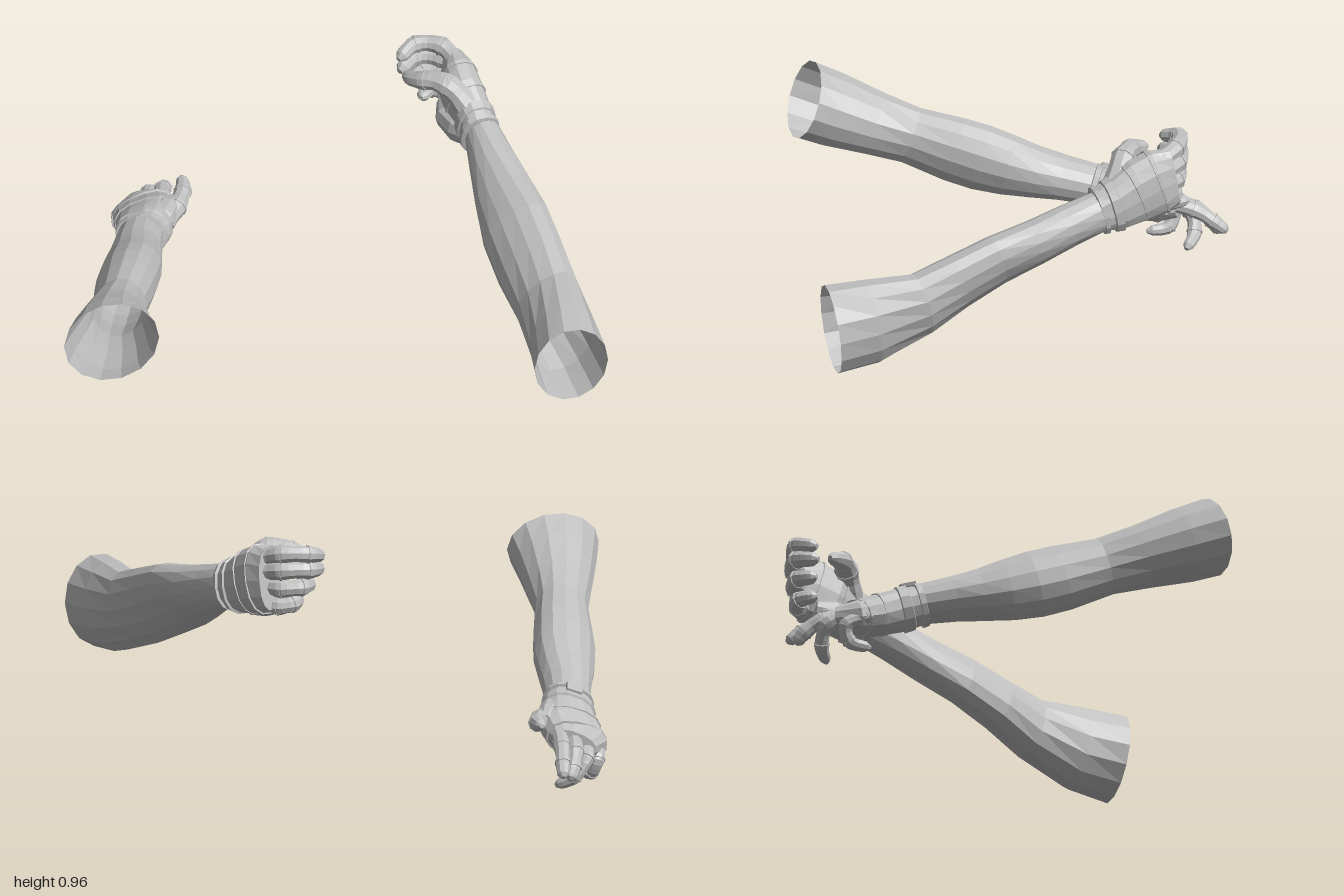
import * as THREE from 'three';

const grey = new THREE.MeshStandardMaterial({ color: 0xbfbfbf, side: THREE.DoubleSide, flatShading: true });
grey.name = 'plain grey';

// Skin a tube over sections [x, y, z, halfWidth, halfHeight, zSkew, lean].
// "lean" slants the oval, "square" below 1 makes it boxier, "up" sets the roll.
function loft(sections, { sides = 12, up = new THREE.Vector3(0, 1, 0), square = 1, cap = false } = {}) {
  const pos = [], idx = [], n = sections.length;
  const point = i => new THREE.Vector3(...sections[Math.min(n - 1, Math.max(0, i))].slice(0, 3));
  const soft = v => Math.sign(v) * Math.pow(Math.abs(v), square);
  for (let i = 0; i < n; i++) {
    const [, , , w, h, skew = 0, lean = 0] = sections[i];
    const along = point(i + 1).sub(point(i - 1)).normalize();
    const side = along.clone().cross(up).normalize();
    const top = side.clone().cross(along);
    side.z += skew;
    for (let j = 0; j < sides; j++) {
      const a = (j / sides) * Math.PI * 2;
      const p = point(i).addScaledVector(side, soft(Math.cos(a - lean)) * w).addScaledVector(top, soft(Math.sin(a)) * h);
      pos.push(p.x, p.y, p.z);
    }
  }
  for (let i = 0; i < n - 1; i++) for (let j = 0; j < sides; j++) {
    const a = i * sides + j, b = i * sides + (j + 1) % sides;
    idx.push(a, a + sides, b, b, a + sides, b + sides);
  }
  if (cap) for (const row of [0, n - 1]) {
    const c = pos.length / 3;
    pos.push(...point(row).toArray());
    for (let j = 0; j < sides; j++) {
      const a = row * sides + j, b = row * sides + (j + 1) % sides;
      idx.push(c, ...(row ? [b, a] : [a, b]));
    }
  }
  const g = new THREE.BufferGeometry();
  g.setAttribute('position', new THREE.Float32BufferAttribute(pos, 3));
  g.setIndex(idx);
  g.computeVertexNormals();
  return g;
}

function part(name, geometry) {
  const m = new THREE.Mesh(geometry, grey);
  m.name = name;
  return m;
}

// Section at fractional index t, enlarged by "grow"
function sample(sections, t, grow) {
  const i = Math.max(0, Math.min(sections.length - 2, Math.floor(t)));
  const s = sections[i].slice(0, 5).map((v, k) => v + (sections[i + 1][k] - v) * (t - i));
  s[3] += grow; s[4] += grow;
  return s;
}

// Raised band wrapped around a lofted form
function band(name, sections, t0, t1, thick, options) {
  const e = (t1 - t0) * 0.12;
  return part(name, loft([
    sample(sections, t0, -0.004), sample(sections, t0 + e, thick),
    sample(sections, t1 - e, thick), sample(sections, t1, -0.004)], options));
}

// Finger: tapered tube with swollen joints, rounded tip and glove seams
function finger(name, points, r, baseScale = 1.1) {
  const v = points.map(p => new THREE.Vector3(...p)), n = v.length;
  const up = v[1].clone().sub(v[0]).cross(v[n - 1].clone().sub(v[n - 2])).normalize();
  const curve = new THREE.CatmullRomCurve3(v), rows = [];
  for (let i = 0; i <= 14; i++) {
    const t = i / 14, joint = Math.pow(Math.cos(t * Math.PI * 3), 2);
    const tip = t > 0.85 ? Math.sqrt(Math.max(0.12, 1 - Math.pow((t - 0.85) / 0.15, 2))) : 1;
    const q = r * (baseScale + (0.85 - baseScale) * t) * (0.94 + 0.12 * joint) * tip;
    rows.push([...curve.getPoint(t).toArray(), q, q]);
  }
  const g = new THREE.Group();
  g.name = name;
  g.add(part('fingerBody', loft(rows, { sides: 9, up, cap: true })));
  for (const t of [4.2, 8.8]) g.add(band('fingerSeam', rows, t, t + 0.6, 0.003, { sides: 9, up }));
  return g;
}

function buildArm(name, spec) {
  const arm = new THREE.Group();
  arm.name = name;
  arm.add(part('forearmAndElbow', loft(spec.arm, { sides: 14 })));
  const palmOptions = { sides: 14, up: spec.roll, square: 0.85 };
  arm.add(part('glovePalm', loft(spec.palm, { ...palmOptions, cap: true })));
  arm.add(part('palmHeel', loft(spec.heel, { sides: 10, cap: true })));

  // Cuff edge, wrist strap and glove seams
  arm.add(band('cuffRim', spec.palm, 0.0, 0.25, 0.01, palmOptions));
  arm.add(band('wristStrap', spec.palm, 0.5, 0.95, 0.008, palmOptions));
  arm.add(band('palmSeam', spec.palm, 1.7, 1.82, 0.004, palmOptions));
  arm.add(band('knuckleSeam', spec.palm, 2.85, 3.0, 0.004, palmOptions));

  // Strap buckle on the back of the wrist
  const buckle = part('strapBuckle', new THREE.BoxGeometry(0.06, 0.014, 0.055));
  buckle.position.set(...spec.buckle.at);
  buckle.rotation.set(...spec.buckle.turn);
  arm.add(buckle);

  for (const [label, r, points, base] of spec.fingers) arm.add(finger(label, points, r, base));
  return arm;
}

export function createModel() {
  const model = new THREE.Group();
  model.name = 'pairOfGlovedArms';

  // Right arm: reaches forward and down with an open, relaxed hand
  model.add(buildArm('rightArm', {
    arm: [
      [-0.827, 0.556, 0.757, 0.173, 0.147, -0.21], [-0.835, 0.515, 0.65, 0.152, 0.142, -0.1],
      [-0.84, 0.462, 0.5, 0.124, 0.122], [-0.845, 0.415, 0.36, 0.1, 0.115, 0, 0.1],
      [-0.845, 0.363, 0.2, 0.112, 0.134, 0, 0.15], [-0.845, 0.333, 0.1, 0.117, 0.136, 0, 0.15],
      [-0.842, 0.307, 0, 0.115, 0.125, 0, 0.15], [-0.842, 0.283, -0.1, 0.104, 0.104, 0, 0.1],
      [-0.842, 0.264, -0.2, 0.093, 0.086], [-0.842, 0.235, -0.34, 0.083, 0.075]],
    roll: new THREE.Vector3(-0.38, 1, 0).normalize(),
    palm: [
      [-0.842, 0.237, -0.31, 0.086, 0.073], [-0.837, 0.21, -0.41, 0.1, 0.082],
      [-0.845, 0.182, -0.5, 0.122, 0.078], [-0.865, 0.16, -0.565, 0.122, 0.068],
      [-0.855, 0.16, -0.64, 0.085, 0.046]],
    heel: [
      [-0.79, 0.235, -0.38, 0.03, 0.03], [-0.78, 0.23, -0.43, 0.05, 0.055],
      [-0.765, 0.225, -0.5, 0.046, 0.055], [-0.75, 0.225, -0.56, 0.025, 0.03]],
    buckle: { at: [-0.865, 0.305, -0.375], turn: [-0.25, 0, 0.36] },
    fingers: [
      ['indexFinger', 0.029, [[-0.8, 0.195, -0.59], [-0.808, 0.165, -0.7], [-0.808, 0.12, -0.77], [-0.808, 0.08, -0.82]]],
      ['middleFinger', 0.029, [[-0.855, 0.18, -0.59], [-0.858, 0.145, -0.7], [-0.848, 0.1, -0.76], [-0.835, 0.06, -0.79]]],
      ['ringFinger', 0.028, [[-0.905, 0.155, -0.57], [-0.897, 0.115, -0.675], [-0.855, 0.05, -0.695], [-0.785, 0.012, -0.67]]],
      ['littleFinger', 0.027, [[-0.945, 0.13, -0.53], [-0.942, 0.095, -0.61], [-0.92, 0.04, -0.595], [-0.89, 0.03, -0.515]]],
      ['thumb', 0.028, [[-0.775, 0.21, -0.44], [-0.733, 0.225, -0.53], [-0.72, 0.235, -0.61], [-0.733, 0.243, -0.685]], 1.6]]
  }));

  // Left arm: reaches forward and up with fingers curled around an empty grip
  model.add(buildArm('leftArm', {
    arm: [
      [0.866, 0.425, 0.525, 0.14, 0.175], [0.815, 0.44, 0.38, 0.124, 0.173, 0, 0.1],
      [0.735, 0.48, 0.2, 0.115, 0.144, 0, 0.35], [0.658, 0.54, 0.07, 0.118, 0.136, 0, 0.5],
      [0.585, 0.6, -0.07, 0.118, 0.126, 0, 0.55], [0.522, 0.648, -0.21, 0.102, 0.105, 0, 0.4],
      [0.467, 0.695, -0.33, 0.083, 0.09, 0, 0.2], [0.415, 0.737, -0.45, 0.066, 0.08]],
    roll: new THREE.Vector3(0, 1, 0),
    palm: [
      [0.415, 0.732, -0.43, 0.066, 0.084], [0.378, 0.752, -0.505, 0.07, 0.106],
      [0.332, 0.785, -0.58, 0.076, 0.125], [0.302, 0.81, -0.65, 0.07, 0.13],
      [0.278, 0.82, -0.705, 0.045, 0.115]],
    heel: [
      [0.375, 0.71, -0.45, 0.03, 0.04], [0.33, 0.7, -0.51, 0.055, 0.065],
      [0.28, 0.705, -0.575, 0.055, 0.058], [0.255, 0.715, -0.64, 0.03, 0.035]],
    buckle: { at: [0.448, 0.76, -0.495], turn: [0.4, 0.4, -1.57] },
    fingers: [
      ['indexFinger', 0.033, [[0.298, 0.895, -0.66], [0.235, 0.92, -0.712], [0.135, 0.918, -0.712], [0.083, 0.895, -0.642]]],
      ['middleFinger', 0.035, [[0.298, 0.845, -0.67], [0.235, 0.86, -0.716], [0.135, 0.86, -0.712], [0.088, 0.845, -0.635]]],
      ['ringFinger', 0.034, [[0.298, 0.785, -0.66], [0.235, 0.79, -0.712], [0.16, 0.793, -0.708], [0.122, 0.788, -0.64]]],
      ['littleFinger', 0.032, [[0.298, 0.725, -0.645], [0.245, 0.718, -0.7], [0.195, 0.725, -0.698], [0.167, 0.73, -0.635]]],
      ['thumb', 0.032, [[0.355, 0.82, -0.5], [0.295, 0.882, -0.515], [0.235, 0.895, -0.53], [0.17, 0.88, -0.548], [0.108, 0.86, -0.592]], 1.6]]
  }));

  return model;
}
